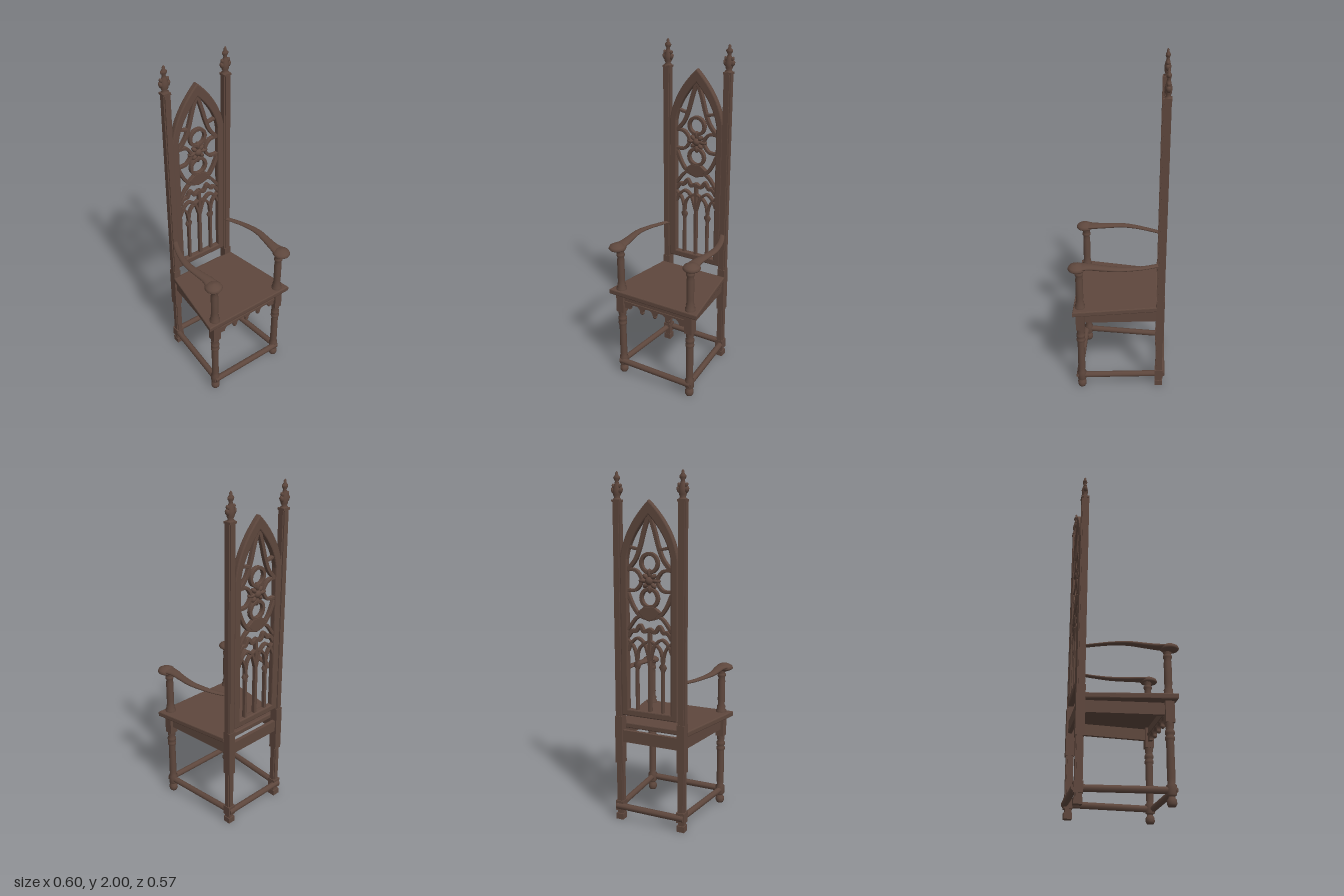
import * as THREE from 'three';

const wood = new THREE.MeshStandardMaterial({ color: 0x5e473d });
wood.name = 'dark wood';
const V2 = (x, y) => new THREE.Vector2(x, y);
const BACK_Z = -0.25;

export function createModel() {
  const chair = new THREE.Group();
  chair.name = 'highBackArmchair';

  const add = (name, geo, x = 0, y = 0, z = 0, parent = chair) => {
    const m = new THREE.Mesh(geo, wood);
    m.name = name;
    m.position.set(x, y, z);
    parent.add(m);
    return m;
  };
  const box = (name, w, h, d, x, y, z) => add(name, new THREE.BoxGeometry(w, h, d), x, y, z);
  const lathe = (pts, seg = 16) => new THREE.LatheGeometry(pts.map(p => V2(...p)), seg);
  const extrude = (shape, depth, bevel = 0) => new THREE.ExtrudeGeometry(shape, {
    depth: depth - 2 * bevel, bevelEnabled: bevel > 0, bevelSize: bevel, bevelThickness: bevel,
    bevelOffset: -bevel, bevelSegments: 2, curveSegments: 16,
  }).translate(0, 0, bevel - depth / 2);

  // Flat strip of even width that follows a spline
  const strip = (pts, w, depth = 0.024) => {
    const c = new THREE.SplineCurve(pts.map(p => V2(...p)));
    const a = [], b = [], n = pts.length * 6;
    for (let i = 0; i <= n; i++) {
      const p = c.getPoint(i / n), t = c.getTangent(i / n);
      a.push(V2(p.x - t.y * w / 2, p.y + t.x * w / 2));
      b.unshift(V2(p.x + t.y * w / 2, p.y - t.x * w / 2));
    }
    return extrude(new THREE.Shape([...a, ...b]), depth, 0.003);
  };
  const ring = (r, w) => {
    const s = new THREE.Shape().absarc(0, 0, r + w / 2, 0, Math.PI * 2);
    s.holes.push(new THREE.Path().absarc(0, 0, r - w / 2, 0, Math.PI * 2, true));
    return extrude(s, 0.024, 0.003);
  };

  // Seat board
  const seat = new THREE.Shape([V2(-0.3, -0.265), V2(0.3, -0.265), V2(0.222, 0.225), V2(-0.222, 0.225)]);
  add('seat', extrude(seat, 0.032, 0.006).rotateX(-Math.PI / 2), 0, 0.57, 0);

  // Front apron with hanging arches
  const apron = new THREE.Shape();
  apron.moveTo(-0.21, 0.556).lineTo(-0.21, 0.47).lineTo(-0.18, 0.47);
  for (let i = 0; i < 4; i++) apron.absarc(-0.135 + i * 0.09, 0.468, 0.036, Math.PI, 0, true);
  apron.lineTo(0.21, 0.47).lineTo(0.21, 0.556);
  add('frontApron', extrude(apron, 0.022), 0, 0, 0.226);
  box('apronMoulding', 0.42, 0.012, 0.034, 0, 0.512, 0.226);
  for (const x of [-0.09, 0, 0.09])
    add('apronPendant', new THREE.SphereGeometry(0.013, 10, 8), x, 0.466, 0.226);
  box('backApron', 0.36, 0.07, 0.022, 0, 0.515, BACK_Z);

  // Stretcher frame near the floor
  const bar = (name, x1, z1, x2, z2) => {
    const len = Math.hypot(x2 - x1, z2 - z1);
    const g = new THREE.CylinderGeometry(0.019, 0.019, len, 8).rotateY(Math.PI / 8).rotateX(Math.PI / 2);
    add(name, g, (x1 + x2) / 2, 0.082, (z1 + z2) / 2).rotation.y = Math.atan2(x2 - x1, z2 - z1);
  };
  bar('frontStretcher', -0.25, 0.24, 0.25, 0.24);
  bar('backStretcher', -0.215, -0.266, 0.215, -0.266);

  // Shared profiles
  const legProfile = [[0, 0], [0.02, 0], [0.026, 0.012], [0.026, 0.032], [0.017, 0.045], [0.017, 0.052],
    [0.027, 0.058], [0.027, 0.108], [0.019, 0.115], [0.022, 0.14], [0.021, 0.34], [0.026, 0.345], [0.026, 0.36],
    [0.02, 0.368], [0.026, 0.376], [0.026, 0.392], [0.02, 0.4], [0.024, 0.42], [0.024, 0.45]];
  const armPostProfile = [[0.031, 0.58], [0.031, 0.598], [0.024, 0.606], [0.026, 0.622], [0.02, 0.632],
    [0.022, 0.66], [0.022, 0.78], [0.019, 0.8], [0.025, 0.81], [0.025, 0.822], [0.02, 0.83], [0.028, 0.855]];
  const knobProfile = [[0, 0.842], [0.026, 0.842], [0.047, 0.852], [0.052, 0.86], [0.046, 0.873], [0.026, 0.885], [0, 0.889]];
  const finialProfile = [[0.024, 1.845], [0.024, 1.852], [0.015, 1.858], [0.022, 1.872], [0.024, 1.9], [0.014, 1.932],
    [0.01, 1.943], [0.017, 1.957], [0.017, 1.967], [0.008, 1.98], [0.009, 1.988], [0, 2]];

  // Square post with notched corners
  const postShape = (h, n) => {
    const q = [[h, -h + n], [h, h - n], [h - n, h - n], [h - n, h]];
    const pts = [];
    for (let k = 0; k < 4; k++) for (const [x, y] of q) {
      const c = Math.round(Math.cos(k * Math.PI / 2)), s = Math.round(Math.sin(k * Math.PI / 2));
      pts.push(V2(c * x - s * y, s * x + c * y));
    }
    return new THREE.Shape(pts);
  };
  const post = (name, h, n, y0, y1, x) =>
    add(name, extrude(postShape(h, n), y1 - y0).rotateX(-Math.PI / 2), x, (y0 + y1) / 2, BACK_Z + 0.004);

  for (const s of [-1, 1]) {
    const side = s > 0 ? 'left' : 'right';
    const px = s * 0.197, lx = s * 0.237, lz = 0.225;

    // Front leg and arm support
    add(side + 'FrontLeg', lathe(legProfile), lx, 0, lz);
    box(side + 'FrontLegBlock', 0.05, 0.12, 0.05, lx, 0.496, lz);
    add(side + 'ArmSupport', lathe(armPostProfile), lx, 0, lz);
    bar(side + 'Stretcher', s * 0.24, 0.25, s * 0.2, -0.27);

    // Side apron
    const ap = box(side + 'Apron', 0.022, 0.066, 0.44, s * 0.215, 0.513, -0.01);
    ap.rotation.y = Math.atan2(s * 0.038, 0.44);

    // Back post in stages
    box(side + 'BackFoot', 0.046, 0.035, 0.046, px, 0.0175, BACK_Z + 0.002);
    post(side + 'BackFootNeck', 0.018, 0.003, 0.03, 0.06, px);
    box(side + 'BackFootBlock', 0.05, 0.06, 0.05, px, 0.085, BACK_Z + 0.002);
    post(side + 'BackLeg', 0.021, 0.007, 0.11, 0.36, px);
    box(side + 'BackSeatBlock', 0.046, 0.28, 0.05, px, 0.49, BACK_Z + 0.004);
    post(side + 'BackPost', 0.0225, 0.007, 0.62, 1.84, px);
    box(side + 'PostCap', 0.048, 0.012, 0.046, px, 1.842, BACK_Z + 0.002);

    // Leafy finial, flattened front to back
    const finial = new THREE.Group();
    finial.name = side + 'Finial';
    finial.position.set(px, 0, BACK_Z);
    chair.add(finial);
    add('finialBud', lathe(finialProfile, 12), 0, 0, 0, finial).scale.z = 0.8;
    for (const d of [-1, 1]) {
      for (const [y, off, r] of [[1.895, 0.022, 0.013], [1.918, 0.02, 0.01], [1.96, 0.012, 0.008]]) {
        const leaf = add('finialLeaf', new THREE.SphereGeometry(r, 8, 6), d * off, y, 0, finial);
        leaf.scale.y = 1.5;
        leaf.rotation.z = -d * 0.4;
      }
    }

    // Curved arm: centre line plus changing width and height
    const path = new THREE.CatmullRomCurve3([[0.195, 0.862, -0.232], [0.226, 0.863, -0.16], [0.248, 0.866, -0.09],
      [0.262, 0.868, 0], [0.253, 0.868, 0.1], [0.245, 0.869, 0.17], [0.25, 0.868, 0.235]]
      .map(p => new THREE.Vector3(s * p[0], p[1], p[2])));
    const size = new THREE.SplineCurve([[0.017, 0.008], [0.018, 0.008], [0.019, 0.009], [0.022, 0.011],
      [0.026, 0.013], [0.032, 0.014], [0.044, 0.013]].map(p => V2(...p)));
    const arm = new THREE.CylinderGeometry(1, 1, 1, 14, 28);
    const pos = arm.attributes.position;
    for (let i = 0; i < pos.count; i++) {
      const t = pos.getY(i) + 0.5, c = path.getPoint(t), w = size.getPoint(t);
      pos.setXYZ(i, c.x + pos.getX(i) * w.x, c.y - pos.getZ(i) * w.y, c.z);
    }
    arm.computeVertexNormals();
    add(side + 'Arm', arm);
    add(side + 'ArmKnob', lathe(knobProfile, 24), s * 0.25, 0, 0.235);
  }

  // Pointed back frame
  const arch = (S, w, y0, y1, cx, cy, top) => S.moveTo(-w, y0).lineTo(w, y0).lineTo(w, y1)
    .quadraticCurveTo(cx, cy, 0, top).quadraticCurveTo(-cx, cy, -w, y1).lineTo(-w, y0);
  const frame = arch(new THREE.Shape(), 0.177, 0.642, 1.53, 0.155, 1.7, 1.846);
  frame.holes.push(arch(new THREE.Path(), 0.133, 0.682, 1.53, 0.115, 1.65, 1.768));
  add('backFrame', extrude(frame, 0.036, 0.007), 0, 0, BACK_Z);

  // Pierced tracery inside the frame
  const tracery = new THREE.Group();
  tracery.name = 'tracery';
  tracery.position.z = BACK_Z;
  chair.add(tracery);
  const tr = (name, geo, x = 0, y = 0) => add(name, geo, x, y, 0, tracery);
  const pair = (name, pts, w) => [-1, 1].forEach(s => tr(name, strip(pts.map(p => [s * p[0], p[1]]), w)));

  pair('upperRib', [[0, 1.775], [0.03, 1.69], [0.056, 1.6], [0.085, 1.53], [0.135, 1.47]], 0.022);
  pair('upperBrace', [[0.062, 1.585], [0.095, 1.59], [0.128, 1.6]], 0.016);
  tr('topRing', ring(0.05, 0.02), 0, 1.512);
  tr('bottomRing', ring(0.05, 0.02), 0, 1.322);
  pair('sideFoil', [[0.135, 1.475], [0.08, 1.468], [0.048, 1.417], [0.08, 1.366], [0.135, 1.36]], 0.018);
  pair('lowerFoil', [[0.135, 1.345], [0.1, 1.27], [0.06, 1.225], [0, 1.205]], 0.02);
  pair('lowerBrace', [[0.055, 1.225], [0.09, 1.2], [0.135, 1.14]], 0.018);
  tr('lowerBoss', extrude(new THREE.Shape([V2(-0.07, 1.245), V2(-0.035, 1.21), V2(0, 1.195),
    V2(0.035, 1.21), V2(0.07, 1.245), V2(0.03, 1.275), V2(-0.03, 1.275)]), 0.026, 0.003));

  // Central flower
  for (let i = 0; i < 8; i++) {
    const a = i * Math.PI / 4, r = i % 2 ? 0.034 : 0.042;
    const petal = tr('flowerPetal', new THREE.SphereGeometry(1, 10, 8), Math.cos(a) * r, 1.415 + Math.sin(a) * r);
    petal.scale.set(i % 2 ? 0.02 : 0.026, 0.013, 0.017);
    petal.rotation.z = a;
  }
  tr('flowerCentre', new THREE.SphereGeometry(0.025, 14, 10), 0, 1.415);

  // Cusped arches over slender mullions
  pair('cuspedArch', [[0.135, 1.1], [0.11, 1.135], [0.085, 1.135], [0.06, 1.168], [0.035, 1.135], [0, 1.15]], 0.021);
  pair('lancetArch', [[0.135, 1.02], [0.115, 1.065], [0.075, 1.095], [0.03, 1.06], [0.004, 0.98]], 0.016);
  pair('smallArch', [[0.08, 0.95], [0.072, 1.02], [0.045, 1.06], [0, 1.085]], 0.015);
  pair('outerArch', [[0.08, 0.95], [0.088, 1.01], [0.105, 1.05], [0.135, 1.08]], 0.014);
  tr('centreMullion', strip([[0, 0.675], [0, 0.9], [0, 1.155]], 0.02));
  for (const x of [-0.08, 0.08]) {
    tr('sideMullion', strip([[x, 0.675], [x, 0.8], [x, 0.97]], 0.016));
    const cap = [[0, 0.9], [0.01, 0.912], [0.025, 0.942], [0.01, 0.965], [0, 0.975]];
    tr('mullionCapital', lathe(cap, 8), x, 0).scale.z = 0.6;
  }
  return chair;
}
